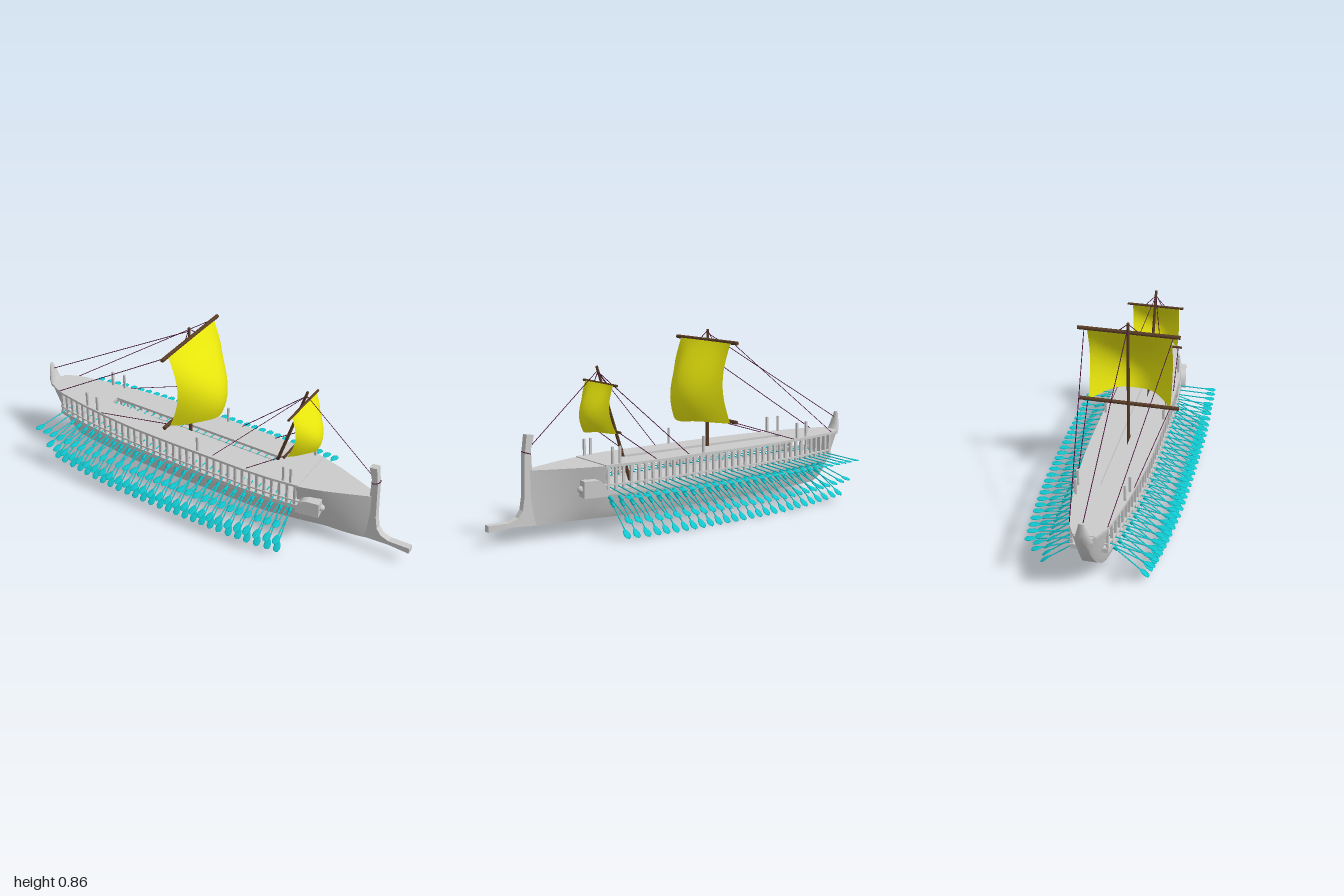
import * as THREE from 'three';
import { toCreasedNormals } from 'three/addons/utils/BufferGeometryUtils.js';

const mat = (color, side = THREE.FrontSide) => new THREE.MeshStandardMaterial({ color, side });
const V = (x, y, z) => new THREE.Vector3(x, y, z);
const lerp = THREE.MathUtils.lerp;

// piecewise linear curve through [x, value] pairs
const curve = (pts) => (x) => {
  if (x <= pts[0][0]) return pts[0][1];
  for (let i = 1; i < pts.length; i++) {
    const [a, va] = pts[i - 1], [b, vb] = pts[i];
    if (x <= b) return lerp(va, vb, (x - a) / (b - a));
  }
  return pts[pts.length - 1][1];
};
const SHEER = 0.31;
// half width at deck level, keel height, and share of width kept at the bottom
const deckHalf = curve([[-0.98, 0.015], [-0.95, 0.048], [-0.9, 0.074], [-0.85, 0.09], [-0.7, 0.116], [-0.55, 0.134],
  [-0.4, 0.146], [-0.2, 0.15], [0.2, 0.149], [0.35, 0.142], [0.5, 0.125], [0.6, 0.096], [0.7, 0.058], [0.8, 0.018]]);
const keel = curve([[-0.98, 0.3], [-0.95, 0.235], [-0.92, 0.18], [-0.88, 0.125], [-0.84, 0.088], [-0.79, 0.066], [0.8, 0.065]]);
const flat = curve([[-0.98, 0.3], [-0.75, 0.5], [-0.4, 0.6], [0.3, 0.6], [0.6, 0.35], [0.8, 0.6]]);
const hullHalf = (x, y) => {
  const t = Math.max(0, (y - keel(x)) / (SHEER - keel(x)));
  return deckHalf(x) * lerp(flat(x), 1, t ** 0.8);
};

export function createModel() {
  const root = new THREE.Group();
  const grey = mat(0xcccccc), greyTwo = mat(0xcccccc, THREE.DoubleSide);
  const wood = mat(0x5a3d26), rope = mat(0x4a0f38), sailMat = mat(0xe8e60c, THREE.DoubleSide), oarMat = mat(0x10c8d0);

  const add = (name, geo, material, parent = root) => {
    const m = new THREE.Mesh(geo, material);
    m.name = name;
    parent.add(m);
    return m;
  };
  const group = (name) => {
    const g = new THREE.Group();
    g.name = name;
    root.add(g);
    return g;
  };
  const rod = (name, a, b, r, material, parent = root, sides = 6, rTop = r) => {
    const m = add(name, new THREE.CylinderGeometry(rTop, r, a.distanceTo(b), sides), material, parent);
    m.position.copy(a).lerp(b, 0.5);
    m.quaternion.setFromUnitVectors(V(0, 1, 0), b.clone().sub(a).normalize());
    return m;
  };

  // hull: closed cross-sections, open height in the middle and full height at both ends
  const stations = [];
  for (let i = 0; i <= 8; i++) stations.push([lerp(-0.98, -0.87, i / 8), SHEER]);
  for (let i = 0; i <= 32; i++) stations.push([lerp(-0.87, 0.48, i / 32), 0.2]);
  for (let i = 0; i <= 10; i++) stations.push([lerp(0.48, 0.8, i / 10), SHEER]);
  const pos = [], idx = [], N = 8, ring = 2 * (N + 1);
  for (const [x, top] of stations) {
    for (let k = 0; k < ring; k++) {
      const s = k <= N ? 1 : -1, t = (k <= N ? k : ring - 1 - k) / N;
      const y = lerp(keel(x), top, t);
      pos.push(x, y, s * hullHalf(x, y));
    }
  }
  for (let i = 0; i < stations.length - 1; i++) {
    for (let k = 0; k < ring; k++) {
      const a = i * ring + k, b = i * ring + (k + 1) % ring, c = a + ring, d = b + ring;
      idx.push(a, c, b, b, c, d);
    }
  }
  const hull = new THREE.BufferGeometry();
  hull.setAttribute('position', new THREE.Float32BufferAttribute(pos, 3));
  hull.setIndex(idx);
  add('hull', toCreasedNormals(hull, 0.6), greyTwo);

  // flat plates that follow the side of the ship
  const plate = (name, x0, x1, outer, inner, yTop, h, hole) => {
    const pts = [], n = 30;
    for (let i = 0; i <= n; i++) { const x = lerp(x0, x1, i / n); pts.push(new THREE.Vector2(x, outer(x))); }
    for (let i = n; i >= 0; i--) { const x = lerp(x0, x1, i / n); pts.push(new THREE.Vector2(x, inner(x))); }
    const shape = new THREE.Shape(pts);
    if (hole) shape.holes.push(new THREE.Path(hole.map(([x, z]) => new THREE.Vector2(x, z))));
    const geo = new THREE.ExtrudeGeometry(shape, { depth: h, bevelEnabled: false });
    geo.rotateX(Math.PI / 2).translate(0, yTop, 0);
    return add(name, geo, greyTwo);
  };
  plate('deck', -0.95, 0.49, deckHalf, (x) => -deckHalf(x), 0.314, 0.012,
    [[-0.6, -0.022], [0.31, -0.022], [0.31, 0.022], [-0.6, 0.022]]);
  for (const s of [1, -1]) {
    const edge = (d) => (x) => s * (deckHalf(x) - d);
    plate('outriggerBeam', -0.88, 0.5, edge(0), edge(0.035), 0.203, 0.022);
    plate('outriggerRail', -0.88, 0.5, edge(0), edge(0.014), 0.228, 0.007);
    // columns carrying the deck
    const columns = group('deckColumns');
    for (let i = 0; i < 37; i++) {
      const x = lerp(-0.87, 0.475, i / 36);
      add('column', new THREE.BoxGeometry(0.012, 0.105, 0.011), grey, columns).position.set(x, 0.254, s * (deckHalf(x) - 0.008));
    }
    // upright posts on deck
    for (const x of [-0.685, -0.62, -0.03, 0.415, 0.45]) {
      add('deckPost', new THREE.BoxGeometry(0.01, 0.08, 0.01), grey).position.set(x, 0.35, s * (deckHalf(x) - 0.012));
    }
    // bow guard blocks with round bosses
    const p = new THREE.Shape();
    p.moveTo(-0.055, -0.035).lineTo(0.055, -0.035).lineTo(0.055, 0.04).lineTo(-0.005, 0.04);
    p.quadraticCurveTo(-0.055, 0.03, -0.055, -0.035);
    const guard = group('bowGuard');
    const block = new THREE.ExtrudeGeometry(p, { depth: 0.07, bevelEnabled: false });
    add('guardBlock', block.translate(0, 0, -0.035), grey, guard);
    add('guardBoss', new THREE.SphereGeometry(0.016, 14, 10), grey, guard).position.x = 0.057;
    guard.position.set(0.542, 0.215, s * 0.105);
    guard.rotation.y = s * 0.15;
  }

  // stem post running down into the ram
  const stem = new THREE.Shape([[0.74, 0.065], [0.9, 0.075], [1, 0.068], [1, 0.097], [0.9, 0.095], [0.86, 0.11], [0.838, 0.14],
    [0.828, 0.2], [0.823, 0.38], [0.812, 0.465], [0.777, 0.46], [0.793, 0.4], [0.79, 0.31], [0.76, 0.3]].map(([x, y]) => new THREE.Vector2(x, y)));
  const stemGeo = new THREE.ExtrudeGeometry(stem, { depth: 0.032, bevelEnabled: false });
  add('stemAndRam', stemGeo.translate(0, 0, -0.016), grey);

  // stern post, leaning aft
  const stern = new THREE.CylinderGeometry(0.011, 0.04, 0.11, 12, 4);
  const sp = stern.attributes.position;
  for (let i = 0; i < sp.count; i++) {
    const t = sp.getY(i) / 0.11 + 0.5;
    sp.setXYZ(i, sp.getX(i) * 0.6 - 0.956 - 0.03 * Math.sqrt(t), 0.29 + 0.11 * t, sp.getZ(i));
  }
  stern.computeVertexNormals();
  add('sternPost', stern, grey);

  // oars: three tiers per side, splayed square to the hull
  const blade = new THREE.SphereGeometry(1, 8, 6);
  const bp = blade.attributes.position;
  for (let i = 0; i < bp.count; i++) bp.setX(i, bp.getX(i) * (1 + 0.3 * bp.getY(i)));
  blade.scale(0.0165, 0.027, 0.0025);
  const tiers = [
    { name: 'upperOars', n: 31, x0: -0.84, x1: 0.455, y: 0.213, tip: 0.197, reach: 0 },
    { name: 'middleOars', n: 28, x0: -0.8, x1: 0.45, y: 0.165, tip: 0.078, reach: -0.014 },
    { name: 'lowerOars', n: 27, x0: -0.775, x1: 0.44, y: 0.148, tip: 0.003, reach: -0.048 },
  ];
  tiers.forEach((t, level) => {
    const oars = group(t.name);
    for (const s of [1, -1]) for (let i = 0; i < t.n; i++) {
      const x = lerp(t.x0, t.x1, i / (t.n - 1)), w = deckHalf(x);
      const lean = -0.18 * (deckHalf(x + 0.03) - deckHalf(x - 0.03)) / 0.06;
      const z0 = level ? hullHalf(x, t.y) - 0.012 : w - 0.06;
      const a = V(x, t.y, s * z0);
      const b = V(x + lean, t.tip + (level ? 0.5 * (0.15 - w) : 0), s * (0.205 + 0.77 * w + t.reach));
      rod('oarShaft', a, b, 0.0028, oarMat, oars, 5);
      if (level) rod('oarSleeve', a, a.clone().lerp(b, 0.2), 0.01, oarMat, oars, 6, 0.006);
      // blade lies flat along the ship
      const dir = b.clone().sub(a).normalize();
      const n = V(1, 0, 0).cross(dir).normalize();
      const m = add('oarBlade', blade, oarMat, oars);
      m.quaternion.setFromRotationMatrix(new THREE.Matrix4().makeBasis(dir.clone().cross(n), dir, n));
      m.position.copy(b).addScaledVector(dir, -0.026);
    }
  });

  // masts, yards and bellied sails
  const rig = (name, foot, top, yards, yardHalf, yardR, sailHalf, belly, edge) => {
    const g = group(name);
    rod('mast', foot, top, 0.0085, wood, g, 8, 0.006);
    for (const [x, y] of yards) rod('yard', V(x, y, -yardHalf), V(x, y, yardHalf), yardR, wood, g, 8);
    const geo = new THREE.PlaneGeometry(2, 1, 16, 16), p = geo.attributes.position;
    const [[xt, yt], [xb, yb]] = yards;
    for (let i = 0; i < p.count; i++) {
      const u = p.getX(i), v = 0.5 - p.getY(i);
      const x = lerp(xt, xb, v) + 0.006 + edge * Math.sin(Math.PI * v) + belly * (1 - u * u) * Math.sin(v * Math.PI / 2) ** 1.3;
      p.setXYZ(i, x, lerp(yt, yb, v) - 0.008 * v * Math.cos(u * Math.PI) ** 2, u * sailHalf);
    }
    geo.computeVertexNormals();
    add('sail', geo, sailMat, g);
  };
  rig('mainRig', V(-0.155, 0.2, 0), V(-0.155, 0.862, 0), [[-0.148, 0.813], [-0.148, 0.452]], 0.23, 0.009, 0.19, 0.15, 0.045);
  rig('foreRig', V(0.283, 0.2, 0), V(0.453, 0.73, 0), [[0.436, 0.655], [0.42, 0.45]], 0.137, 0.006, 0.114, 0.09, 0.028);

  // rigging
  const lines = group('rigging');
  const line = (a, b) => rod('rope', V(...a), V(...b), 0.0018, rope, lines, 4);
  line([-0.155, 0.845, 0], [-0.98, 0.37, 0]);
  line([0.447, 0.712, 0], [0.815, 0.385, 0]);
  for (const s of [1, -1]) {
    line([-0.15, 0.81, s * 0.2], [-0.88, 0.314, s * 0.08]);
    line([-0.15, 0.45, s * 0.19], [-0.59, 0.314, s * 0.125]);
    line([0.447, 0.705, 0], [0.05, 0.314, s * 0.135]);
    line([0.42, 0.45, s * 0.12], [0.23, 0.314, s * 0.135]);
    line([-0.155, 0.857, 0], [-0.148, 0.813, s * 0.05]);
    line([0.447, 0.705, 0], [0.436, 0.655, s * 0.05]);
  }
  const loop = add('stemLashing', new THREE.TorusGeometry(0.021, 0.002, 5, 16), rope, lines);
  loop.position.set(0.808, 0.385, 0);
  loop.rotation.set(Math.PI / 2, 0.3, 0);
  return root;
}
